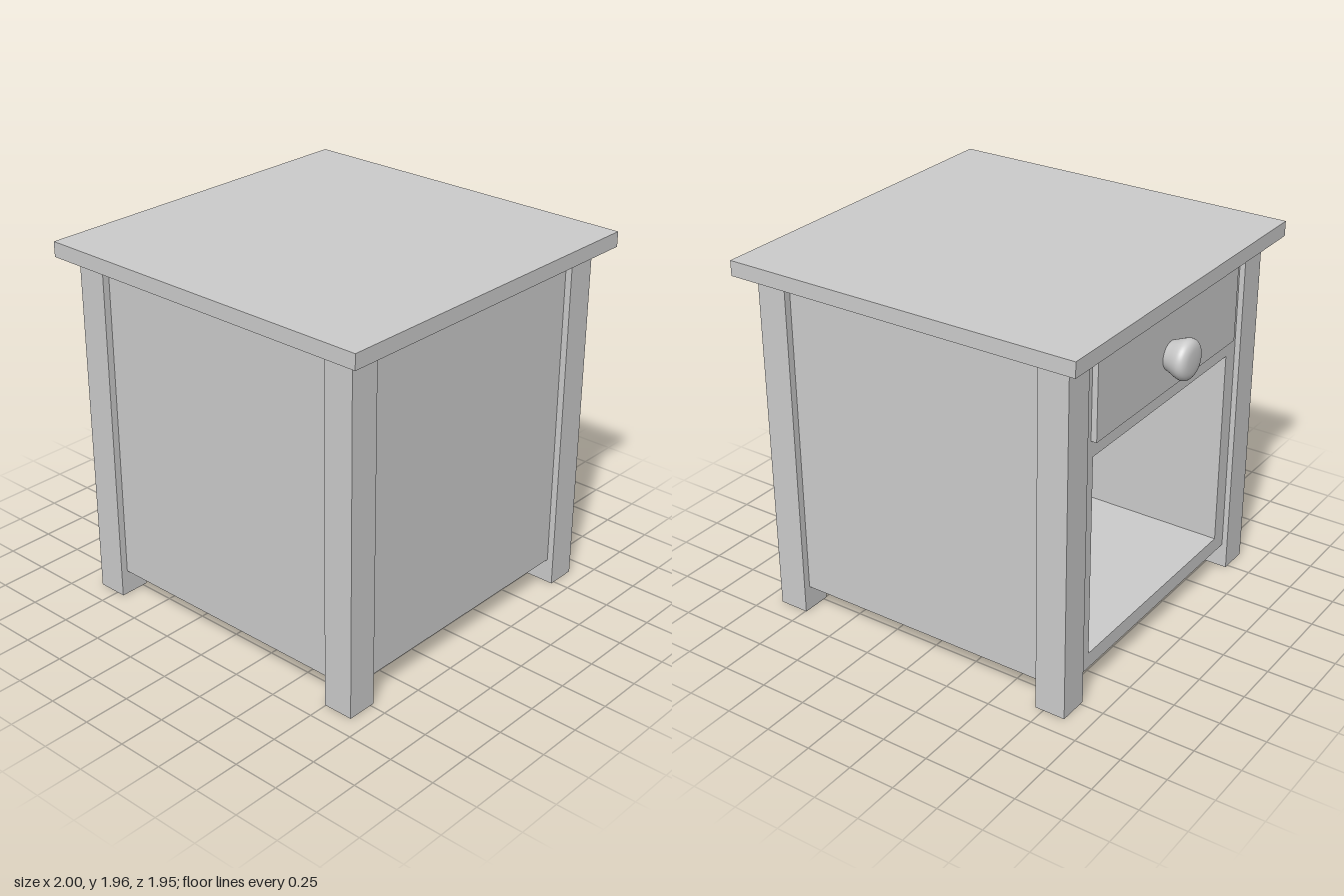
import * as THREE from 'three';

export function createModel() {
  const model = new THREE.Group();
  const material = new THREE.MeshStandardMaterial({ color: 0xcccccc });

  const add = (name, geometry) => {
    const mesh = new THREE.Mesh(geometry, material);
    mesh.name = name;
    model.add(mesh);
    return mesh;
  };
  // Box given by its lower and upper corners
  const box = (name, [x0, y0, z0], [x1, y1, z1]) => {
    const mesh = add(name, new THREE.BoxGeometry(x1 - x0, y1 - y0, z1 - z0));
    mesh.position.set((x0 + x1) / 2, (y0 + y1) / 2, (z0 + z1) / 2);
    return mesh;
  };

  box('tableTop', [-0.955, 1.88, -0.977], [1, 1.96, 0.977]);

  // Four square legs
  for (const x of [-0.87, 0.745]) {
    for (const z of [-0.893, 0.728]) {
      box('leg', [x, 0, z], [x + 0.165, 1.88, z + 0.165]);
    }
  }

  // Cabinet body: a rectangular section with an open compartment, facing -x
  const section = new THREE.Shape();
  section.moveTo(-0.855, 0.135).lineTo(0.855, 0.135).lineTo(0.855, 1.87).lineTo(-0.855, 1.87).closePath();
  const opening = new THREE.Path();
  opening.moveTo(-0.635, 0.22).lineTo(-0.635, 1.31).lineTo(0.635, 1.31).lineTo(0.635, 0.22).closePath();
  section.holes.push(opening);
  const body = new THREE.ExtrudeGeometry(section, { depth: 1.56, bevelEnabled: false });
  body.rotateY(-Math.PI / 2);
  add('cabinetBody', body).position.x = 0.72;

  // Panel closing the compartment at its far end
  box('endPanel', [0.72, 0.135, -0.855], [0.875, 1.87, 0.855]);

  box('drawerFront', [-0.87, 1.4, -0.655], [-0.835, 1.86, 0.655]);

  // Turned knob: flares out from the drawer to a rounded face
  const profile = [new THREE.Vector2(0.07, -0.01), new THREE.Vector2(0.075, 0)];
  const rim = new THREE.SplineCurve([
    [0.075, 0], [0.087, 0.03], [0.1, 0.062], [0.105, 0.087],
    [0.096, 0.11], [0.072, 0.124], [0.035, 0.129], [0, 0.13],
  ].map(([r, h]) => new THREE.Vector2(r, h)));
  profile.push(...rim.getPoints(24).slice(1));
  profile[profile.length - 1].x = 0;
  const knob = add('knob', new THREE.LatheGeometry(profile, 40));
  knob.rotation.z = Math.PI / 2;
  knob.position.set(-0.87, 1.58, 0);

  return model;
}
